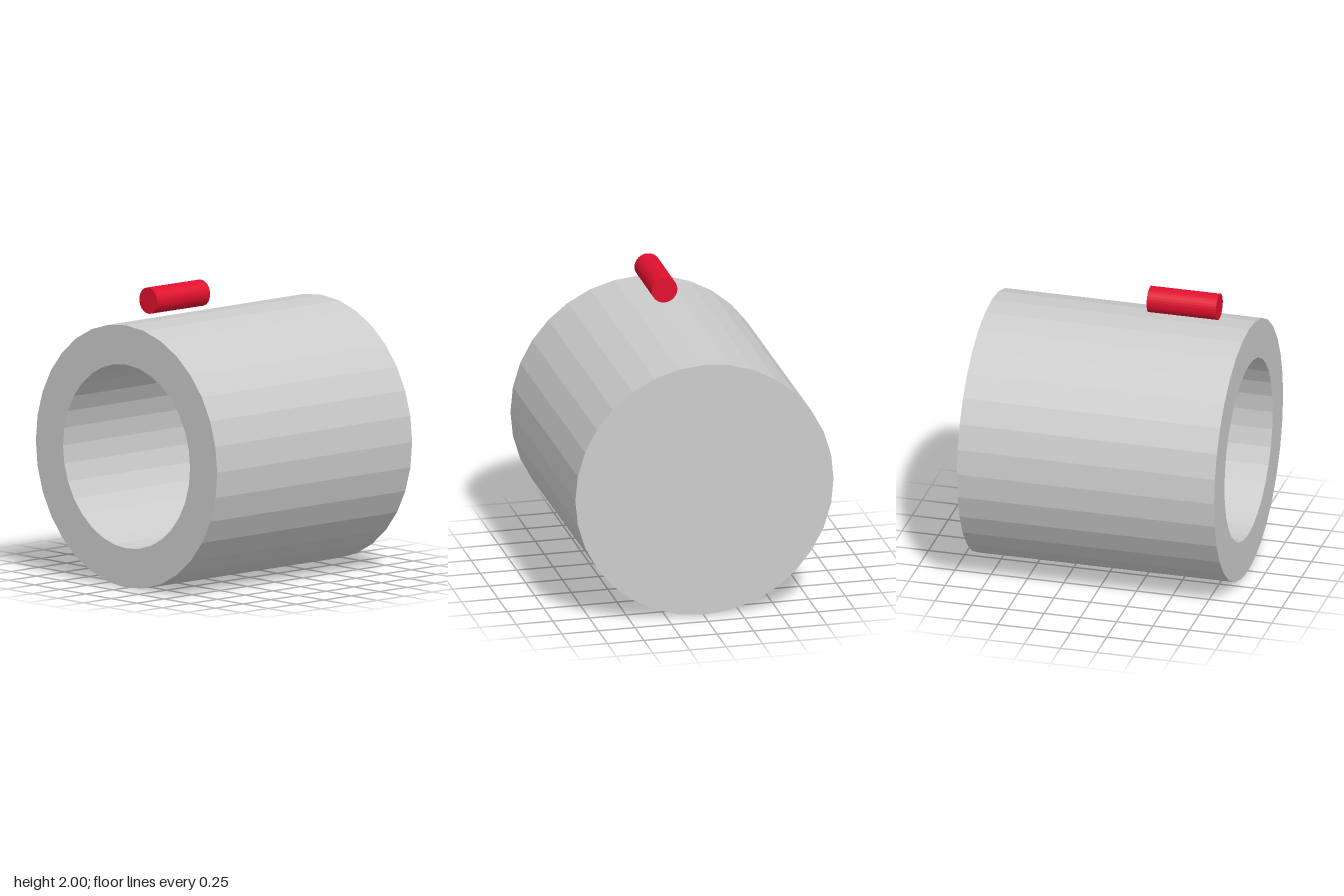
import * as THREE from 'three';

const SIDES = 32;

export function createModel() {
  const model = new THREE.Group();
  model.name = 'cupWithRod';

  // Thick-walled cup: closed at the back, open towards the front
  const outer = 0.884, inner = 0.619, half = 0.884, wall = 0.265;
  const profile = [
    [0, -half], [outer, -half], [outer, half],
    [inner, half], [inner, -half + wall], [0, -half + wall],
  ].map(([r, h]) => new THREE.Vector2(r, h));
  const cupGeometry = new THREE.LatheGeometry(profile, SIDES).rotateX(Math.PI / 2);
  const cup = new THREE.Mesh(
    cupGeometry,
    new THREE.MeshStandardMaterial({ color: 0xcccccc, flatShading: true }),
  );
  cup.name = 'cup';
  cup.position.y = 0.888;
  cup.rotation.set(0.003, 0.0045, 0); // sits very slightly askew
  model.add(cup);

  // Small red rod floating above the cup
  const rodGeometry = new THREE.CylinderGeometry(0.088, 0.088, 0.477, SIDES).rotateX(Math.PI / 2);
  const rod = new THREE.Mesh(
    rodGeometry,
    new THREE.MeshStandardMaterial({ color: 0xe0102d, flatShading: true }),
  );
  rod.name = 'rod';
  rod.position.set(0, 1.912, 0.445);
  model.add(rod);

  return model;
}
